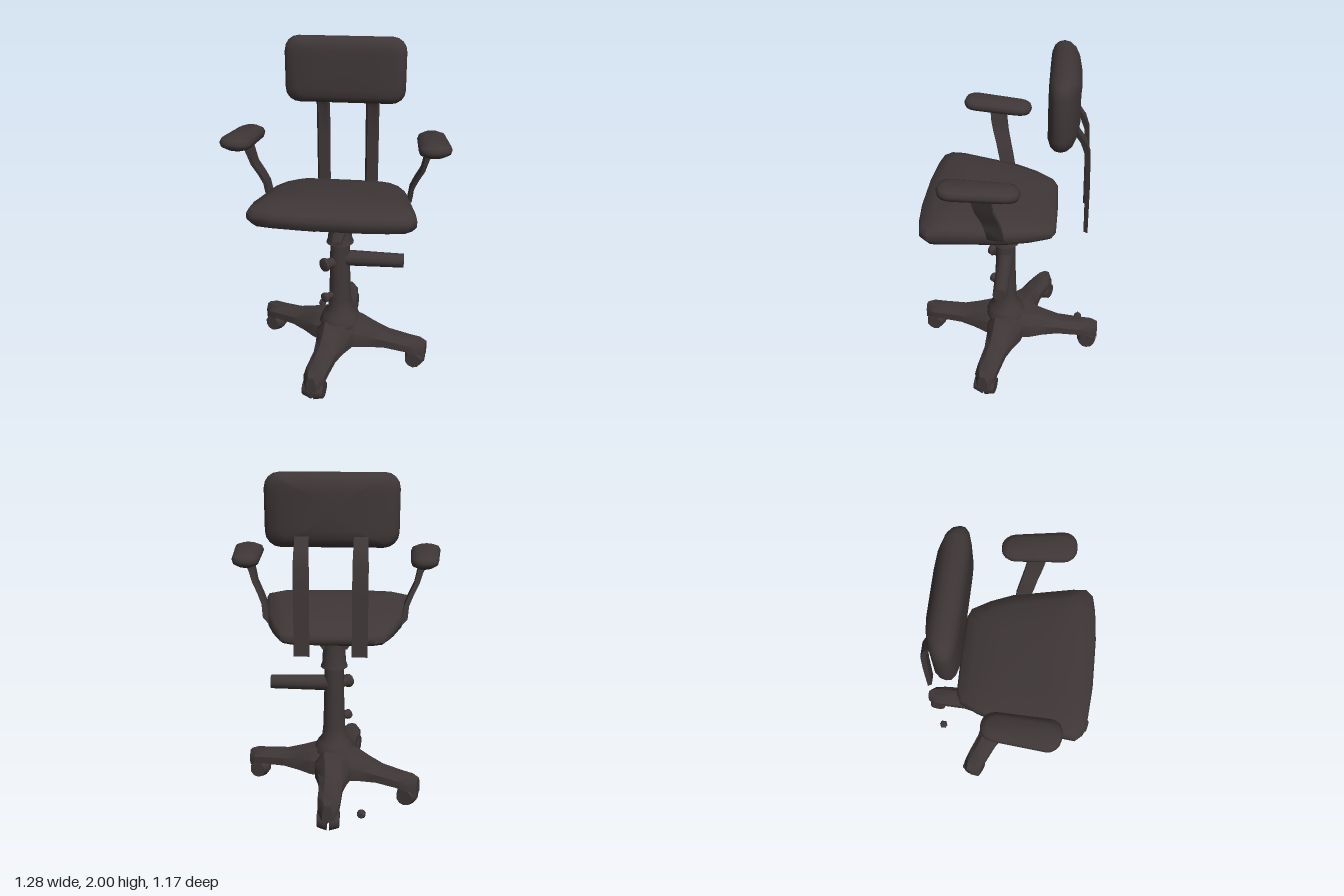
import * as THREE from 'three';
import { toCreasedNormals } from 'three/addons/utils/BufferGeometryUtils.js';

const V = (x, y, z) => new THREE.Vector3(x, y, z);

// Skin a list of equal-length rings of points, close both ends, face outwards.
function loft(rings, crease = 0.75) {
  const n = rings[0].length, pts = rings.flat(), idx = [];
  for (let i = 0; i < rings.length - 1; i++) {
    for (let j = 0; j < n; j++) {
      const a = i * n + j, b = i * n + (j + 1) % n;
      idx.push(a, b, b + n, a, b + n, a + n);
    }
  }
  [rings[0], rings[rings.length - 1]].forEach((ring, end) => {
    const c = ring.reduce((s, p) => s.add(p), V(0, 0, 0)).divideScalar(n);
    const k = pts.push(c) - 1, o = end * (rings.length - 1) * n;
    for (let j = 0; j < n; j++) {
      const a = o + j, b = o + (j + 1) % n;
      end ? idx.push(a, b, k) : idx.push(b, a, k);
    }
  });
  let volume = 0;
  for (let i = 0; i < idx.length; i += 3) {
    volume += pts[idx[i]].dot(pts[idx[i + 1]].clone().cross(pts[idx[i + 2]]));
  }
  if (volume < 0) idx.reverse();
  const g = new THREE.BufferGeometry().setFromPoints(pts);
  g.setIndex(idx);
  return toCreasedNormals(g, crease);
}

// Upright strip: each section is [x, y, z, half width x, half width z].
const strip = (sections) => loft(sections.map(([x, y, z, a, b]) => [
  V(x - a, y, z - b * 0.8), V(x + a, y, z - b * 0.8), V(x + a * 0.7, y, z + b), V(x - a * 0.7, y, z + b),
]));

// Rounded rectangle outline as [u, v] pairs.
function roundedRect(w, h, r, steps = 4) {
  const out = [];
  [[1, 1], [-1, 1], [-1, -1], [1, -1]].forEach(([sx, sy], q) => {
    for (let i = 0; i <= steps; i++) {
      const t = (q + i / steps) * Math.PI / 2;
      out.push([sx * (w - r) + r * Math.cos(t), sy * (h - r) + r * Math.sin(t)]);
    }
  });
  return out;
}

export function createModel() {
  const model = new THREE.Group();
  const charcoal = new THREE.MeshStandardMaterial({ color: 0x3f3737 });
  charcoal.name = 'charcoal';
  const add = (name, geometry, parent = model, x = 0, y = 0, z = 0) => {
    const m = new THREE.Mesh(geometry, charcoal);
    m.name = name;
    m.position.set(x, y, z);
    parent.add(m);
    return m;
  };

  // Seat cushion: tapered outline, domed top thinning to the rear, recessed underside
  const half = [[0, 0.5], [0.15, 0.5], [0.33, 0.485], [0.43, 0.465], [0.47, 0.42], [0.46, 0.34],
    [0.4, -0.02], [0.355, -0.15], [0.3, -0.26], [0.24, -0.285], [0, -0.29]];
  const outline = [...half, ...half.slice(1, -1).reverse().map(([x, z]) => [-x, z])];
  const layers = [[0.8, 0.035], [0.86, 0.01], [0.95, 0], [1, 0.03], [1, 0.078], [0.965, 0.103], [0.8, 0.126], [0.45, 0.135]];
  add('seat', loft(layers.map(([s, h]) => outline.map(([x, z0]) => {
    const z = 0.1 + (z0 - 0.1) * s;
    const dip = 0.03 * Math.max(0, z - 0.3) / 0.2;
    return V(x * s, 1.052 + 0.068 * z + h * (0.91 + 0.45 * z - Math.max(0, -z - 0.1)) - (h > 0.07 ? dip : 0), z);
  })), 0.9));

  // Backrest cushion: pillow section, thinner and swept at both ends
  const back = roundedRect(0.365, 0.2, 0.085);
  const backLayers = [[0.5, 0.55, -0.217], [0.8, 0.76, -0.221], [0.93, 0.9, -0.236], [0.99, 0.97, -0.265],
    [1, 1, -0.305], [0.98, 0.97, -0.345], [0.92, 0.88, -0.376], [0.75, 0.72, -0.393], [0.45, 0.5, -0.396]];
  add('backrest', loft(backLayers.map(([su, sv, z]) => back.map(([u, v]) => {
    const bow = 0.05 * (u * su / 0.365) ** 2 * Math.max(0, (-0.24 - z) / 0.15);
    return V(u * su, 1.8 + v * sv, z + bow);
  })), 1.0));

  // Two flat uprights behind the backrest
  for (const x of [-0.16, 0.155]) {
    add('backUpright', strip([[x, 1.03, -0.457, 0.043, 0.012], [x, 1.35, -0.45, 0.043, 0.014],
      [x, 1.53, -0.44, 0.043, 0.016], [x, 1.6, -0.415, 0.04, 0.018], [x, 1.68, -0.36, 0.038, 0.018]]));
  }

  // Arm pads, curved supports and knobs under the seat
  for (const side of [-1, 1]) {
    const arm = new THREE.Group();
    arm.name = side > 0 ? 'leftArm' : 'rightArm';
    model.add(arm);
    const padOutline = roundedRect(0.086, 0.215, 0.075);
    const pad = add('armPad', loft([[0.6, -0.038], [0.92, -0.022], [1, 0.0], [0.9, 0.022], [0.55, 0.036]]
      .map(([s, y]) => padOutline.map(([u, v]) => V(u * s * (1 + 0.4 * v), y, v * (0.6 + 0.4 * s)))), 0.9),
    arm, side * 0.538, 1.487, 0.116);
    pad.rotation.set(-0.07, side * 0.08, side * 0.06);
    add('armSupport', strip([[0.37, 1.07, 0.03, 0.02, 0.045], [0.42, 1.12, 0.04, 0.017, 0.05],
      [0.43, 1.2, 0.055, 0.015, 0.052], [0.455, 1.26, 0.07, 0.015, 0.052], [0.49, 1.33, 0.09, 0.015, 0.055],
      [0.505, 1.39, 0.1, 0.018, 0.057], [0.53, 1.47, 0.105, 0.025, 0.06]]
      .map(([x, ...r]) => [side * x, ...r])), arm);
    add('underseatKnob', new THREE.SphereGeometry(0.042, 8, 6), model, side * 0.3, 1.04, 0.24).scale.set(0.9, 1, 1.3);
  }
  add('armBracket', new THREE.BoxGeometry(0.74, 0.025, 0.09), model, 0, 1.07, 0.04);

  // Flared mechanism under the seat and its two paddles
  add('seatMechanism', strip([[0, 0.93, 0.03, 0.075, 0.06], [0, 1.0, 0.04, 0.12, 0.075],
    [0, 1.05, 0.1, 0.22, 0.14], [0, 1.085, 0.13, 0.27, 0.18]]));
  const paddle = (x, y, z0, z1) => add('paddle', loft([[z0, 0.025, 0.015, 0.02], [(z0 + z1) / 2, 0.035, 0.018, -0.01], [z1, 0.03, 0.014, 0]]
    .map(([z, a, b, dy]) => roundedRect(a, b, b * 0.8, 2).map(([u, v]) => V(x + u, y + dy + v, z)))));
  paddle(0.02, 0.945, 0.02, 0.34);
  paddle(-0.12, 1.02, 0.05, 0.32);

  // Column with collar, skirt and a stub below the hub
  add('column', toCreasedNormals(new THREE.LatheGeometry([[0.001, 0.06], [0.035, 0.07], [0.04, 0.12], [0.1, 0.13], [0.13, 0.26],
    [0.105, 0.31], [0.078, 0.345], [0.07, 0.42], [0.064, 0.6], [0.06, 0.81], [0.085, 0.81], [0.074, 0.84], [0.07, 0.93],
    [0.062, 1.02], [0.001, 1.06]].map(([r, y]) => new THREE.Vector2(r, y)), 14), 0.7), model, 0.005, 0, 0.025);

  // Side handle and tapered column knobs
  add('sideHandle', new THREE.CylinderGeometry(0.043, 0.05, 0.4, 12), model, 0.2, 0.7, 0.025).rotation.z = -Math.PI / 2;
  for (const [y, r] of [[0.685, 0.036], [0.455, 0.026]]) {
    const knob = add('columnKnob', toCreasedNormals(new THREE.LatheGeometry([[0.001, 0], [r * 0.9, 0], [r * 0.8, 0.07],
      [r * 1.2, 0.085], [r * 1.15, 0.105], [0.001, 0.115]].map(([a, b]) => new THREE.Vector2(a, b)), 10), 0.7), model, -0.015, y, 0.04);
    knob.rotation.set(Math.PI / 2, 0, 0.75);
  }

  // Four sloping base legs with casters
  for (const [x, z] of [[0.545, 0.12], [-0.1, 0.56], [-0.505, -0.225], [0.01, -0.57]]) {
    const leg = new THREE.Group();
    leg.name = 'baseLeg';
    leg.rotation.y = Math.atan2(-z, x);
    model.add(leg);
    const r = Math.hypot(x, z);
    add('legBeam', loft([[-0.03, 0.12, 0.28, 0.12], [0.13, 0.12, 0.275, 0.115], [0.22, 0.125, 0.245, 0.088],
      [0.32, 0.13, 0.215, 0.07], [r - 0.1, 0.125, 0.2, 0.066], [r - 0.03, 0.105, 0.197, 0.06], [r + 0.015, 0.09, 0.185, 0.03]]
      .map(([d, lo, hi, w]) => [[-w, lo], [w, lo], [w, lo * 0.4 + hi * 0.6], [w * 0.5, hi], [-w * 0.5, hi], [-w, lo * 0.4 + hi * 0.6]]
        .map(([u, y]) => V(d, y, u)))), leg);
    add('casterStem', new THREE.CylinderGeometry(0.03, 0.03, 0.1, 8), leg, r - 0.05, 0.11, 0);
    for (const s of [-1, 1]) {
      const wheel = add('casterWheel', toCreasedNormals(new THREE.CylinderGeometry(0.05, 0.066, 0.055, 10), 0.7),
        leg, r - 0.05, 0.07, s * 0.036);
      wheel.rotation.x = s * Math.PI / 2;
    }
  }
  // Loose caster fragment behind the base
  add('looseCaster', new THREE.IcosahedronGeometry(0.03, 0), model, -0.18, 0.07, -0.46);

  return model;
}
